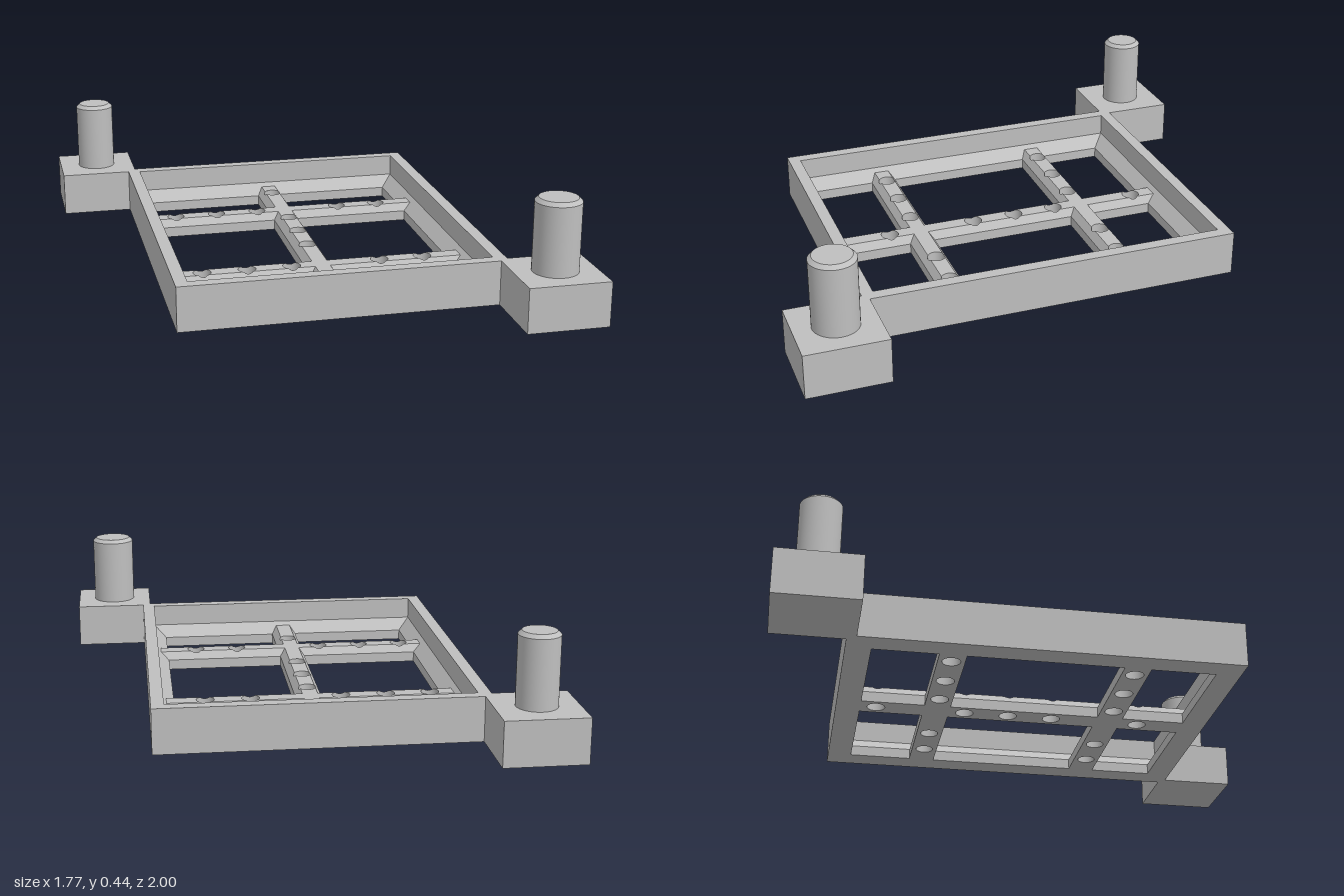
import * as THREE from 'three';

const grey = new THREE.MeshStandardMaterial({ color: 0xbfbfbf, side: THREE.DoubleSide });
grey.name = 'plain grey';

// Main levels and sizes
const H = 0.17, LIP = 0.04, BEVEL = 0.085, BAR = 0.07;
const OUT = [0.607, 0.723], WALL = [0.56, 0.677], OPEN = [0.512, 0.63];
const FLAT = 0.029, HALF = 0.05, R = 0.034, BAR_Z = 0.338;
const BAR_HOLES = [-0.455, -0.285, -0.114, 0.228, 0.398];
const SPINE_HOLES = [-0.57, -0.228, -0.058, 0.113, 0.457];

function add(parent, name, geometry, x = 0, y = 0, z = 0) {
  const m = new THREE.Mesh(geometry, grey);
  m.name = name;
  m.position.set(x, y, z);
  parent.add(m);
  return m;
}

const flat = (g) => g.rotateX(-Math.PI / 2);

// Rectangle in plan, given x and z ranges
function rect(x0, x1, z0, z1, Type = THREE.Path) {
  const p = new Type();
  p.moveTo(x0, -z0).lineTo(x0, -z1).lineTo(x1, -z1).lineTo(x1, -z0).closePath();
  return p;
}

function circle(x, z) {
  const p = new THREE.Path();
  p.absarc(x, -z, R, 0, Math.PI * 2, true);
  return p;
}

const slab = (shape, depth) =>
  flat(new THREE.ExtrudeGeometry(shape, { depth, bevelEnabled: false, curveSegments: 24 }));

// Height of a bar's bevelled top at a distance from its centre line
const barTop = (v) =>
  Math.abs(v) <= FLAT + 1e-6 ? BAR : LIP + (BAR - LIP) * (HALF - Math.abs(v)) / (HALF - FLAT);

// Raise flat geometry to the bar's profile
function raise(geometry) {
  const p = geometry.attributes.position;
  for (let i = 0; i < p.count; i++) p.setY(i, barTop(p.getZ(i)));
  geometry.computeVertexNormals();
  return geometry;
}

// Points on a hole's rim between two angles
function arc(u, from, to) {
  return Array.from({ length: 9 }, (_, i) => {
    const a = from + (to - from) * i / 8;
    return new THREE.Vector2(u + R * Math.cos(a), R * Math.sin(a));
  });
}

// Bevelled bar running along x, pierced by round holes
function bar(name, half, holes) {
  const g = new THREE.Group();
  g.name = name;
  const al = Math.asin(FLAT / R), v2 = (x, y) => new THREE.Vector2(x, y);

  // Flat top pieces between the holes
  for (let i = 0; i <= holes.length; i++) {
    const left = i ? arc(holes[i - 1], al, -al) : [v2(-half, FLAT), v2(-half, -FLAT)];
    const right = i < holes.length
      ? arc(holes[i], Math.PI + al, Math.PI - al) : [v2(half, -FLAT), v2(half, FLAT)];
    add(g, 'barTop', raise(flat(new THREE.ShapeGeometry(new THREE.Shape([...left, ...right])))));
  }

  // Sloping sides, notched where the holes reach them
  for (const s of [-1, 1]) {
    const pts = [v2(-half, FLAT)];
    for (const u of holes) pts.push(...arc(u, Math.PI - al, al));
    pts.push(v2(half, FLAT), v2(half, HALF), v2(-half, HALF));
    for (const p of pts) p.y *= s;
    add(g, 'barBevel', raise(flat(new THREE.ShapeGeometry(new THREE.Shape(pts)))));
  }

  // Hole linings
  for (const u of holes) {
    const c = new THREE.CylinderGeometry(R, R, 1, 32, 1, true);
    const p = c.attributes.position;
    for (let i = 0; i < p.count; i++) p.setY(i, p.getY(i) > 0 ? barTop(p.getZ(i)) : 0);
    add(g, 'holeLining', c, u);
  }
  return g;
}

// Sloping ledge joining two rectangles at different heights
function ledge([ax, az], ay, [bx, bz], by) {
  const corners = [[-1, -1], [-1, 1], [1, 1], [1, -1]], pos = [];
  for (let i = 0; i < 4; i++) {
    const [p, q] = [corners[i], corners[(i + 1) % 4]];
    const a = [p[0] * ax, ay, p[1] * az], b = [q[0] * ax, ay, q[1] * az];
    const c = [q[0] * bx, by, q[1] * bz], d = [p[0] * bx, by, p[1] * bz];
    pos.push(...a, ...d, ...c, ...a, ...c, ...b);
  }
  // Wind the faces to look up and inward
  for (let i = 0; i < pos.length; i += 9) {
    const t = pos.slice(i, i + 9).map((n) => new THREE.Vector3(n));
    const v = [0, 3, 6].map((k) => new THREE.Vector3(t[k].x, t[k + 1].x, t[k + 2].x));
    const n = v[1].clone().sub(v[0]).cross(v[2].clone().sub(v[0]));
    if (n.y < 0) for (let k = 0; k < 3; k++) {
      [pos[i + 3 + k], pos[i + 6 + k]] = [pos[i + 6 + k], pos[i + 3 + k]];
    }
  }
  const g = new THREE.BufferGeometry();
  g.setAttribute('position', new THREE.Float32BufferAttribute(pos, 3));
  g.computeVertexNormals();
  return g;
}

export function createModel() {
  const model = new THREE.Group();
  model.name = 'alignmentFrame';

  const frame = new THREE.Group();
  frame.name = 'frame';
  frame.position.z = -0.0065;
  model.add(frame);

  // Outer wall
  const wall = rect(-OUT[0], OUT[0], -OUT[1], OUT[1], THREE.Shape);
  wall.holes.push(rect(-WALL[0], WALL[0], -WALL[1], WALL[1]));
  add(frame, 'outerWall', slab(wall, H));
  add(frame, 'innerBevel', ledge(WALL, BEVEL, OPEN, LIP));

  // Floor grid with six windows and small holes
  const floor = rect(-WALL[0], WALL[0], -WALL[1], WALL[1], THREE.Shape);
  const rows = [[-OPEN[1], -BAR_Z - HALF], [-BAR_Z + HALF, BAR_Z - HALF], [BAR_Z + HALF, OPEN[1]]];
  for (const [z0, z1] of rows) {
    floor.holes.push(rect(-OPEN[0], -HALF, z0, z1), rect(HALF, OPEN[0], z0, z1));
  }
  for (const z of [-BAR_Z, BAR_Z]) for (const x of BAR_HOLES) floor.holes.push(circle(x, z));
  for (const z of SPINE_HOLES) floor.holes.push(circle(0, z));
  add(frame, 'floorGrid', slab(floor, LIP));

  // Raised bars
  for (const z of [-BAR_Z, BAR_Z]) {
    const b = bar('crossBar', 0.543, BAR_HOLES);
    b.position.z = z;
    frame.add(b);
  }
  const spine = bar('spineBar', 0.661, SPINE_HOLES);
  spine.rotation.y = -Math.PI / 2;
  frame.add(spine);

  // Corner blocks with chamfered pegs
  for (const [s, r] of [[-1, 0.076], [1, 0.085]]) {
    const corner = new THREE.Group();
    corner.name = s < 0 ? 'backRightCorner' : 'frontLeftCorner';
    corner.position.set(s * 0.73, 0, s * 0.847);
    add(corner, 'block', new THREE.BoxGeometry(0.307, H, 0.306), 0, H / 2);
    add(corner, 'peg', new THREE.CylinderGeometry(r, r, 0.26, 48, 1, true), 0, H + 0.13);
    add(corner, 'pegTip', new THREE.CylinderGeometry(r - 0.014, r, 0.014, 48), 0, H + 0.267);
    model.add(corner);
  }
  return model;
}
